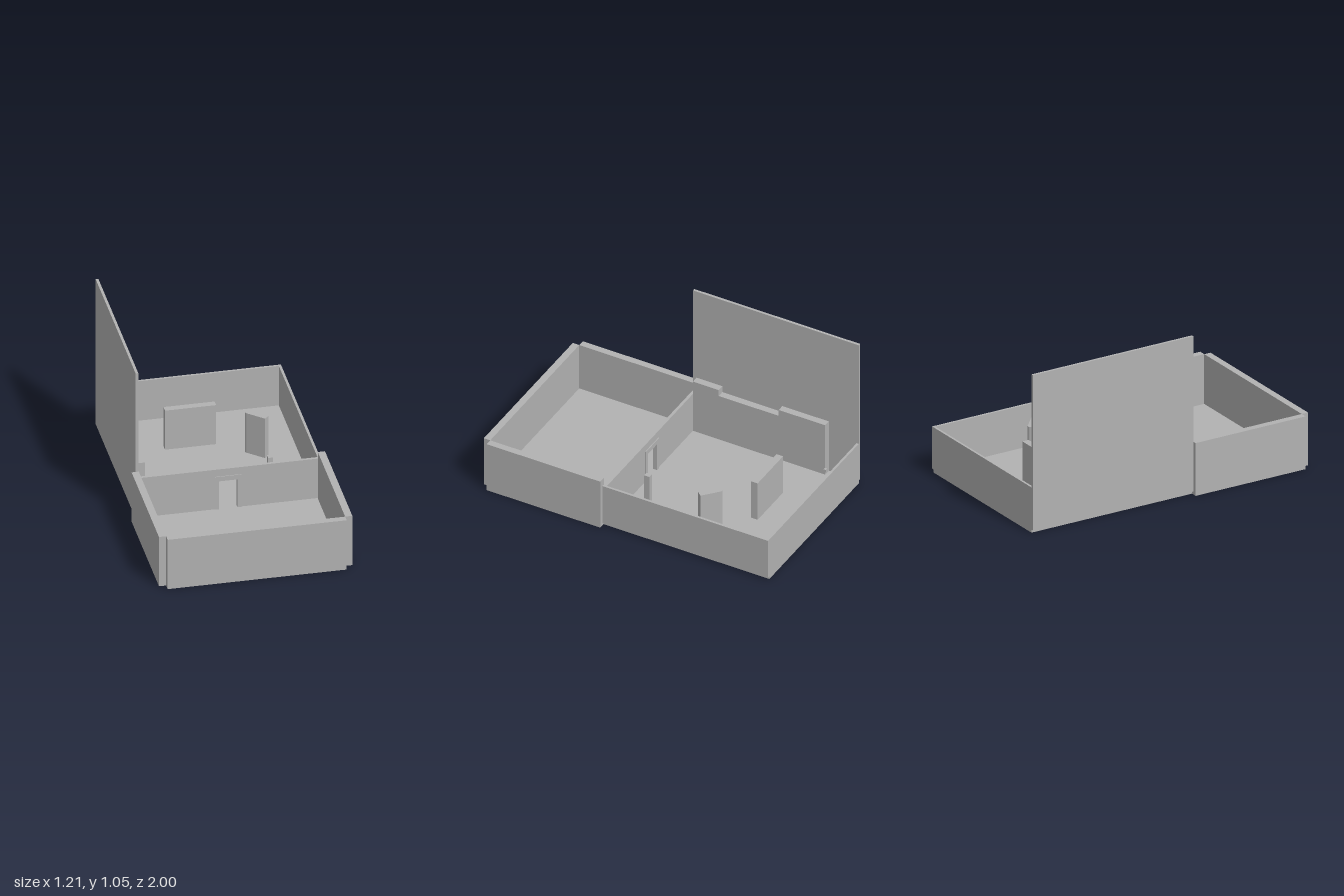
import * as THREE from 'three';

const plaster = new THREE.MeshStandardMaterial({ color: 0xb2b2b2 });
plaster.name = 'plasterGrey';

export function createModel() {
  const model = new THREE.Group();
  model.name = 'openHouse';

  function add(name, geometry, parent = model) {
    const mesh = new THREE.Mesh(geometry, plaster);
    mesh.name = name;
    parent.add(mesh);
    return mesh;
  }

  // Box given by its limits on each axis
  function box(name, x0, x1, y0, y1, z0, z1, parent) {
    const mesh = add(name, new THREE.BoxGeometry(x1 - x0, y1 - y0, z1 - z0), parent);
    mesh.position.set((x0 + x1) / 2, (y0 + y1) / 2, (z0 + z1) / 2);
    return mesh;
  }

  // Slab facing +x / -x from a [z, y] outline, with holes as [z0, z1, y0, y1]
  function slab(name, x0, x1, outline, holes, parent) {
    const points = (list) => list.map(([z, y]) => new THREE.Vector2(-z, y));
    const shape = new THREE.Shape(points(outline));
    for (const [z0, z1, y0, y1] of holes) {
      shape.holes.push(new THREE.Path(points([[z0, y0], [z1, y0], [z1, y1], [z0, y1]])));
    }
    const geometry = new THREE.ExtrudeGeometry(shape, { depth: x1 - x0, bevelEnabled: false });
    geometry.rotateY(Math.PI / 2);
    geometry.translate(x0, 0, 0);
    add(name, geometry, parent);
  }

  // Floors
  box('backRoomFloor', -0.563, 0.563, 0, 0.02, -1, 0.16);
  box('frontRoomFloor', -0.563, 0.563, 0, 0.02, 0.16, 0.955);

  // Front room walls
  box('frontWall', -0.56, 0.56, 0, 0.35, 0.955, 1);
  for (const side of [-1, 1]) {
    const wall = box('frontSideWall', -0.0225, 0.0225, 0, 0.35, 0.16, 0.955);
    wall.position.x = side * 0.5825;
  }

  // Back room walls
  box('backWall', -0.563, 0.563, 0.02, 0.3, -1, -0.985);
  box('rightWall', 0.563, 0.579, 0.02, 0.3, -1, 0.16);

  // Tall facade with shallow recessed windows on both faces
  const facade = new THREE.Group();
  facade.name = 'tallFacade';
  model.add(facade);
  const facadeOutline = [[-1, 0.02], [0.16, 0.02], [0.16, 1.05], [-1, 1.05]];
  slab('facadeCore', -0.575, -0.568, facadeOutline, [], facade);
  slab('facadeOuterFace', -0.58, -0.575, facadeOutline, [
    [-0.06, 0.1, 0.635, 0.735], [-0.64, -0.48, 0.635, 0.735],
    [-0.92, -0.77, 0.375, 0.475], [-0.34, -0.19, 0.375, 0.475],
    [-0.34, -0.19, 0.12, 0.22], [-0.64, -0.48, 0.04, 0.22],
  ], facade);
  slab('facadeInnerFace', -0.568, -0.563, facadeOutline, [
    [-0.37, -0.217, 0.62, 0.72], [-0.95, -0.79, 0.62, 0.72],
    [-0.37, -0.217, 0.365, 0.465], [-0.95, -0.79, 0.365, 0.465],
    [-0.95, -0.8, 0.11, 0.21],
  ], facade);

  // Low stepped wall standing against the facade
  const stepped = new THREE.Group();
  stepped.name = 'steppedWall';
  model.add(stepped);
  const steps = [[-0.79, 0.02], [0.135, 0.02], [0.135, 0.395], [-0.045, 0.395],
    [-0.045, 0.35], [-0.465, 0.35], [-0.465, 0.395], [-0.79, 0.395]];
  slab('steppedWallCore', -0.563, -0.527, steps, [], stepped);
  slab('steppedWallFace', -0.527, -0.517, steps, [
    [-0.742, -0.554, 0.135, 0.278],
    [-0.316, -0.128, 0.03, 0.268],
    [-0.475, -0.445, 0.03, 0.275],
  ], stepped);

  // Partition with a doorway, and its raised frame
  function arch(name, halfWidth, top, z0, z1, doorHalf, doorTop) {
    const shape = new THREE.Shape([
      [-halfWidth, 0.02], [-doorHalf, 0.02], [-doorHalf, doorTop], [doorHalf, doorTop],
      [doorHalf, 0.02], [halfWidth, 0.02], [halfWidth, top], [-halfWidth, top],
    ].map(([x, y]) => new THREE.Vector2(x, y)));
    const geometry = new THREE.ExtrudeGeometry(shape, { depth: z1 - z0, bevelEnabled: false });
    geometry.translate(0, 0, z0);
    add(name, geometry);
  }
  arch('partitionWall', 0.563, 0.3, 0.136, 0.155, 0.06, 0.22);
  arch('doorFrame', 0.083, 0.25, 0.13, 0.16, 0.058, 0.218);

  // Free-standing pieces in the back room
  box('standingPanel', -0.23, 0.09, 0.02, 0.297, -0.655, -0.61);
  box('post', 0.28, 0.31, 0.02, 0.26, -0.02, 0.018);
  box('smallKnob', -0.43, -0.412, 0.125, 0.145, -0.853, -0.837);

  // Slanted pillar with one rounded end
  const pillarShape = new THREE.Shape();
  pillarShape.moveTo(0.075, -0.02);
  pillarShape.lineTo(0.075, 0.02);
  pillarShape.lineTo(-0.055, 0.02);
  pillarShape.absarc(-0.055, 0, 0.02, Math.PI / 2, Math.PI * 1.5, false);
  const pillar = add('slantedPillar', new THREE.ExtrudeGeometry(pillarShape, {
    depth: 0.28, bevelEnabled: false, curveSegments: 4,
  }).rotateX(-Math.PI / 2));
  pillar.rotation.y = -0.73;
  pillar.position.set(0.305, 0.02, -0.447);

  return model;
}
